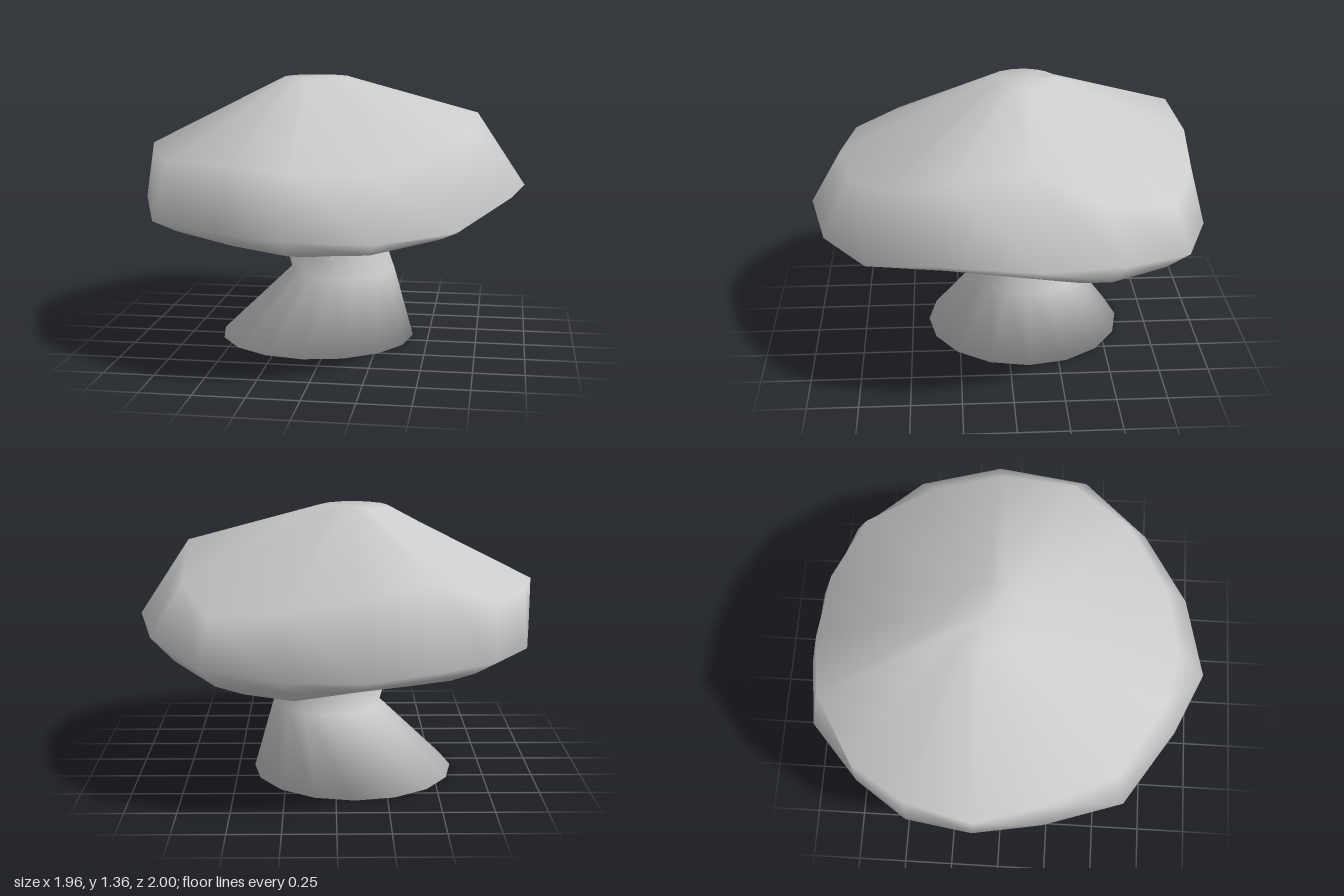
import * as THREE from 'three';

const material = new THREE.MeshStandardMaterial({ color: 0xcccccc });

// Joins rings of points (angles running from +x towards +z), listed top to bottom.
function loft(name, rings) {
  const n = rings[0].length;
  const index = [];
  for (let r = 0; r < rings.length - 1; r++) {
    for (let i = 0; i < n; i++) {
      const a = r * n + i, b = r * n + (i + 1) % n;
      index.push(a, b, a + n, b, b + n, a + n);
    }
  }
  // close the first and last ring with a fan
  const points = rings.flat();
  const middle = ring => ring.reduce((s, p) => s.add(p), new THREE.Vector3()).divideScalar(n);
  const top = points.push(middle(rings[0])) - 1;
  const bottom = points.push(middle(rings[rings.length - 1])) - 1;
  const last = (rings.length - 1) * n;
  for (let i = 0; i < n; i++) {
    const j = (i + 1) % n;
    index.push(top, j, i, bottom, last + i, last + j);
  }
  const geometry = new THREE.BufferGeometry().setFromPoints(points);
  geometry.setIndex(index);
  geometry.computeVertexNormals();
  const mesh = new THREE.Mesh(geometry, material);
  mesh.name = name;
  return mesh;
}

const circle = (x, y, z, radius, n = 16) => Array.from({ length: n }, (_, i) => {
  const a = i / n * Math.PI * 2;
  return new THREE.Vector3(x + radius * Math.cos(a), y, z + radius * Math.sin(a));
});

// Uneven rim of the cap: x, z, height, then scale and height of the shoulder and of the lip
const RIM = [
  [0.98, -0.10, 0.82, 0.75, 1.19, 0.66, 0.66],
  [0.91, 0.36, 0.83, 0.80, 1.14, 0.65, 0.69],
  [0.67, 0.69, 0.72, 0.84, 1.05, 0.62, 0.63],
  [0.32, 0.91, 0.70, 0.85, 0.98, 0.60, 0.57],
  [-0.09, 1.00, 0.72, 0.84, 1.00, 0.58, 0.56],
  [-0.40, 0.86, 0.72, 0.90, 1.02, 0.62, 0.58],
  [-0.78, 0.61, 0.72, 0.92, 1.00, 0.68, 0.61],
  [-0.92, 0.22, 0.77, 0.96, 1.00, 0.74, 0.60],
  [-0.98, -0.12, 0.77, 1.00, 1.00, 0.73, 0.56],
  [-0.92, -0.45, 0.72, 0.98, 1.00, 0.74, 0.58],
  [-0.74, -0.71, 0.72, 0.99, 1.00, 0.74, 0.58],
  [-0.47, -0.95, 0.74, 0.93, 1.12, 0.75, 0.61],
  [-0.13, -1.00, 0.70, 0.93, 1.06, 0.75, 0.59],
  [0.25, -0.98, 0.70, 0.92, 1.00, 0.77, 0.55],
  [0.63, -0.84, 0.72, 0.91, 0.94, 0.69, 0.53],
  [0.88, -0.51, 0.79, 0.83, 1.03, 0.65, 0.55],
];

function createCap() {
  const ring = fn => RIM.map(([x, z, ...p]) => {
    const [scale, y] = fn(...p);
    return new THREE.Vector3(x * scale, y, z * scale);
  });
  const crown = RIM.map(([x, z]) => {
    const a = Math.atan2(z, x);
    return new THREE.Vector3(-0.09 + 0.175 * Math.cos(a), 1.36, -0.09 + 0.175 * Math.sin(a));
  });
  return loft('cap', [
    crown,
    ring((y, shoulder, shoulderY) => [shoulder, shoulderY]),
    ring(y => [1, y]),
    ring((y, s, sY, lip, lipY) => [0.88, lipY * 0.55 + y * 0.45]),
    ring((y, s, sY, lip, lipY) => [lip, lipY]),
    ring((y, s, sY, lip, lipY) => [0.43, lipY * 0.3 + 0.51]), // hollow underside
    ring(() => [0.2, 0.72]),
  ]);
}

export function createModel() {
  const model = new THREE.Group();
  model.name = 'mushroom';
  model.add(createCap());

  // Leaning stem with a flared foot
  model.add(loft('stem', [
    circle(-0.04, 0.74, -0.1, 0.265),
    circle(-0.02, 0.57, -0.1, 0.265),
    circle(0.045, 0.36, -0.1, 0.272),
    circle(-0.09, 0.002, -0.095, 0.508),
  ]));

  // Flat sole, kept separate so its edge stays sharp
  const sole = new THREE.Mesh(new THREE.CircleGeometry(0.508, 16), material);
  sole.name = 'sole';
  sole.rotation.x = Math.PI / 2;
  sole.position.set(-0.09, 0, -0.095);
  model.add(sole);

  return model;
}
